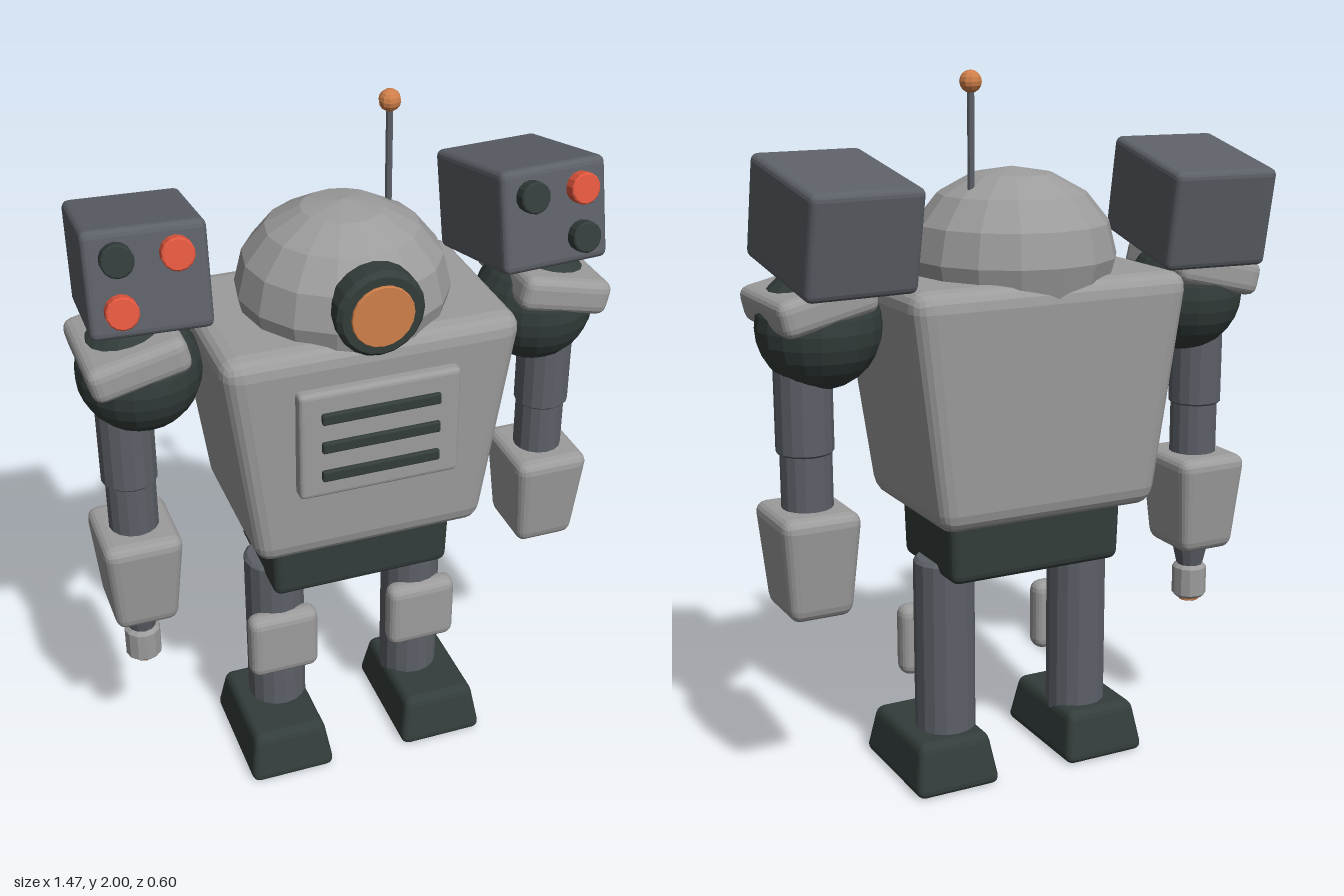
import * as THREE from 'three';
import { RoundedBoxGeometry } from 'three/addons/geometries/RoundedBoxGeometry.js';

const colour = (name, hex) => {
  const m = new THREE.MeshStandardMaterial({ color: hex });
  m.name = name;
  return m;
};

// Gives every face its own normal for a faceted look
function facet(geo) {
  const g = geo.index ? geo.toNonIndexed() : geo;
  g.computeVertexNormals();
  return g;
}

// Bevelled box whose width and depth change linearly from bottom to top
function taperBox(w, h, d, r, bottomX = 1, topX = 1, bottomZ = bottomX, topZ = topX) {
  const g = new RoundedBoxGeometry(w, h, d, 2, r);
  const p = g.attributes.position;
  for (let i = 0; i < p.count; i++) {
    const t = p.getY(i) / h + 0.5;
    p.setX(i, p.getX(i) * THREE.MathUtils.lerp(bottomX, topX, t));
    p.setZ(i, p.getZ(i) * THREE.MathUtils.lerp(bottomZ, topZ, t));
  }
  return facet(g);
}

const ball = (r, seg, rows) => facet(new THREE.SphereGeometry(r, seg, rows));

// Upright turned part from [radius, height] pairs, listed bottom to top
const turned = (pts, seg = 16) =>
  facet(new THREE.LatheGeometry(pts.map(([x, y]) => new THREE.Vector2(x, y)), seg));

// Solid post with small bevels at both ends
const post = (r, y0, y1, b = 0.01, seg = 16) =>
  turned([[0, y0], [r - b, y0], [r, y0 + b], [r, y1 - b], [r - b, y1], [0, y1]], seg);

export function createModel() {
  const armour = colour('armourGrey', 0x9c9c9c);
  const steel = colour('steelGrey', 0x5c6067);
  const dark = colour('darkJoint', 0x333d3b);
  const amber = colour('amber', 0xcf7f49);
  const red = colour('redLamp', 0xe2573f);

  const model = new THREE.Group();
  model.name = 'robot';
  const add = (name, geo, mat, x = 0, y = 0, z = 0, parent = model) => {
    const m = new THREE.Mesh(geo, mat);
    m.name = name;
    m.position.set(x, y, z);
    parent.add(m);
    return m;
  };

  // Torso and pelvis
  add('torso', taperBox(0.83, 0.66, 0.55, 0.055, 0.79, 1.01, 0.9, 1.0), armour, 0, 1.13, -0.015);
  add('pelvis', taperBox(0.535, 0.19, 0.34, 0.025, 0.98, 1), dark, 0, 0.72, -0.01);

  // Chest vent
  add('ventPanel', taperBox(0.45, 0.32, 0.05, 0.014), armour, 0, 1.195, 0.262);
  for (const y of [1.105, 1.193, 1.28])
    add('ventSlot', taperBox(0.33, 0.032, 0.03, 0.005), dark, 0, y, 0.284);

  // Domed head
  const head = add('head', ball(0.29, 16, 8), armour, 0, 1.5, -0.015);
  head.scale.y = 0.83;

  // Eye
  const eye = new THREE.Group();
  eye.name = 'eye';
  eye.position.set(0, 1.55, 0);
  eye.rotation.x = Math.PI / 2;
  model.add(eye);
  add('eyeHousing', turned([[0, 0.15], [0.105, 0.15], [0.105, 0.2], [0.12, 0.215],
    [0.12, 0.272], [0.108, 0.286], [0, 0.286]], 20), dark, 0, 0, 0, eye);
  add('eyeLens', post(0.085, 0.28, 0.295, 0.002, 20), amber, 0, 0, 0, eye);

  // Antenna
  add('antennaRod', post(0.01, 1.6, 1.96, 0.001, 8), steel, 0.15, 0, -0.07);
  add('antennaTip', ball(0.03, 10, 8), amber, 0.15, 1.97, -0.07);

  for (const s of [-1, 1]) {
    const side = s > 0 ? 'left' : 'right';
    const limb = (part, geo, mat, x, y = 0, z = -0.012) => add(side + part, geo, mat, s * x, y, z);

    // Leg
    limb('Leg', post(0.087, 0.08, 0.66), steel, 0.215);
    limb('KneePad', taperBox(0.21, 0.21, 0.07, 0.03), armour, 0.217, 0.395, 0.068);
    limb('Foot', taperBox(0.26, 0.15, 0.4, 0.025, 1, 0.82), dark, 0.239, 0.075, 0.032);

    // Shoulder and arm
    limb('Shoulder', ball(0.168, 20, 14), dark, 0.568, 1.35);
    const pad = limb('ShoulderPad', taperBox(0.27, 0.1, 0.335, 0.03), armour, 0.595, 1.425);
    pad.rotation.z = -s * 0.23;
    limb('UpperArm', post(0.078, 1.015, 1.32, 0.006), steel, 0.617);
    limb('LowerArm', post(0.07, 0.8, 1.03, 0.006), steel, 0.615);
    limb('Forearm', taperBox(0.225, 0.295, 0.262, 0.035, 0.78, 1.01), armour, 0.615, 0.718);

    // Tilted shoulder pod with lamps
    const pod = new THREE.Group();
    pod.name = side + 'Pod';
    pod.position.set(s * 0.54, 1.625, -0.07);
    pod.rotation.set(-0.2, s * 0.07, 0, 'YXZ');
    model.add(pod);
    add('podBody', taperBox(0.315, 0.28, 0.39, 0.02), steel, 0, 0, 0, pod);
    const lamps = s < 0
      ? [[-0.075, 0.067, dark], [0.075, 0.067, red], [-0.075, -0.065, red]]
      : [[-0.075, 0.067, dark], [0.075, 0.067, red], [0.075, -0.065, dark]];
    for (const [x, y, mat] of lamps) {
      const lamp = add('podLamp', post(0.043, 0, 0.045, 0.004, 14), mat, x, y, 0.185, pod);
      lamp.rotation.x = Math.PI / 2;
    }
  }

  // Blaster under the right forearm
  add('blasterNeck', turned([[0, 0.49], [0.036, 0.49], [0.052, 0.56], [0.052, 0.59], [0, 0.59]], 12),
    steel, -0.617, 0, -0.012);
  add('blasterBarrel', post(0.052, 0.4, 0.505, 0.01, 12), armour, -0.617, 0, -0.012);
  add('blasterTip', post(0.033, 0.39, 0.42, 0.002, 12), amber, -0.617, 0, -0.012);

  return model;
}
